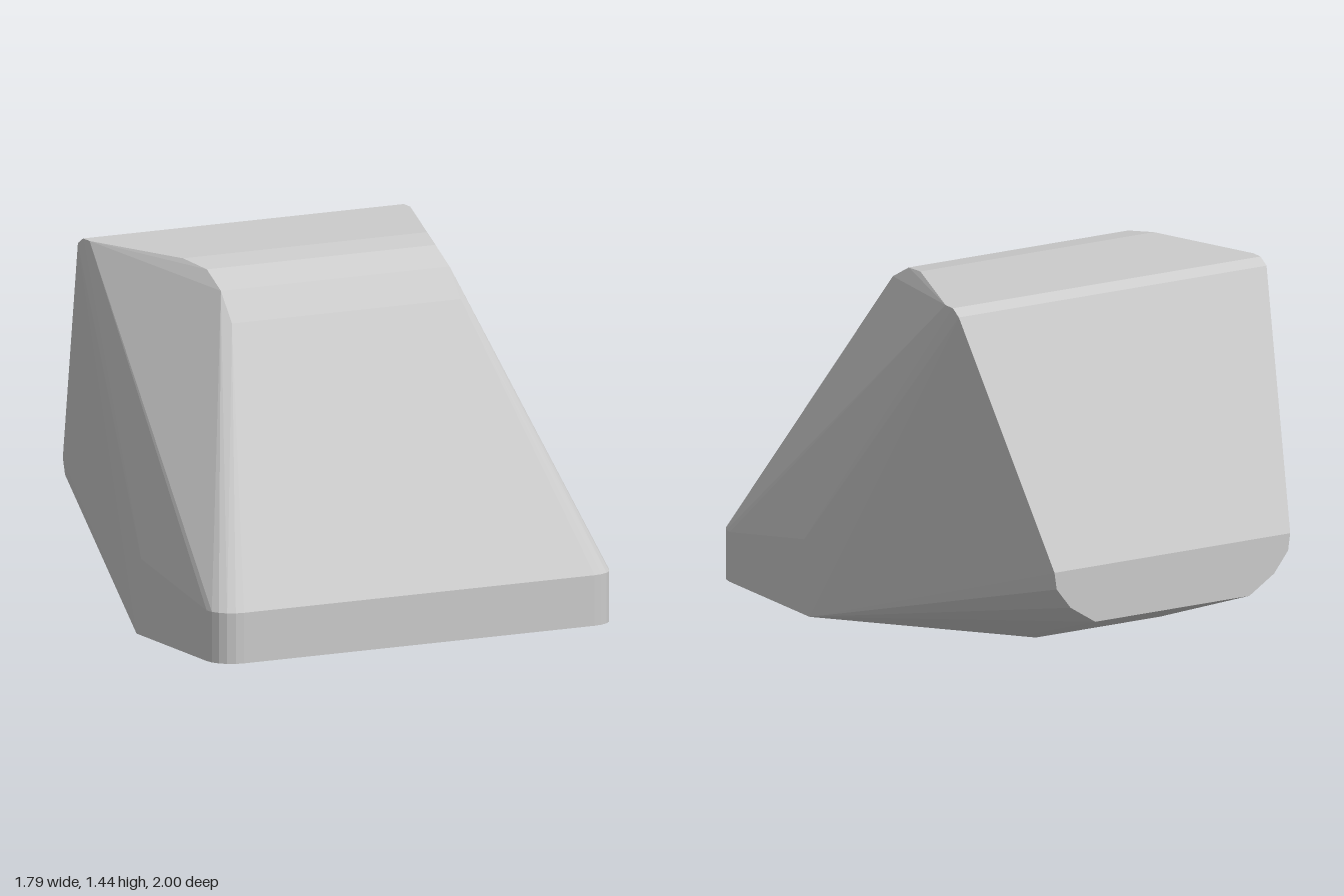
import * as THREE from 'three';
import { ConvexGeometry } from 'three/addons/geometries/ConvexGeometry.js';

export function createModel() {
  const group = new THREE.Group();
  const points = [];
  // every corner is mirrored left to right
  const corner = (x, y, z) => points.push(new THREE.Vector3(x, y, z), new THREE.Vector3(-x, y, z));

  // upright front lip with rounded vertical corners
  const radius = 0.11, steps = 5;
  for (let i = 0; i <= steps; i++) {
    const a = (i / steps) * Math.PI / 2;
    const x = 0.895 - radius + radius * Math.cos(a);
    const z = 1 - radius + radius * Math.sin(a);
    corner(x, 0, z);
    corner(x, 0.205, z);
  }

  // widest part of the sides
  corner(0.895, 0, 0.29);
  corner(0.895, 0.31, 0.33);

  // rounded brow above the sloping front
  corner(0.512, 1.235, 0.375);
  corner(0.512, 1.35, 0.28);
  corner(0.512, 1.415, 0.16);
  corner(0.545, 1.437, 0.02);

  // top rear edge
  corner(0.718, 1.437, -0.45);
  corner(0.718, 1.437, -0.505);
  corner(0.718, 1.41, -0.55);

  // small back wall with rounded lower corners
  corner(0.55, 0.44, -1);
  corner(0.54, 0.37, -1);
  corner(0.475, 0.285, -1);
  corner(0.36, 0.21, -1);

  // rear end of the flat underside
  corner(0.29, 0, -0.44);
  corner(0.345, 0.02, -0.45);

  const body = new THREE.Mesh(
    new ConvexGeometry(points),
    new THREE.MeshStandardMaterial({ color: 0xcccccc, flatShading: true })
  );
  body.name = 'body';
  group.add(body);
  return group;
}
